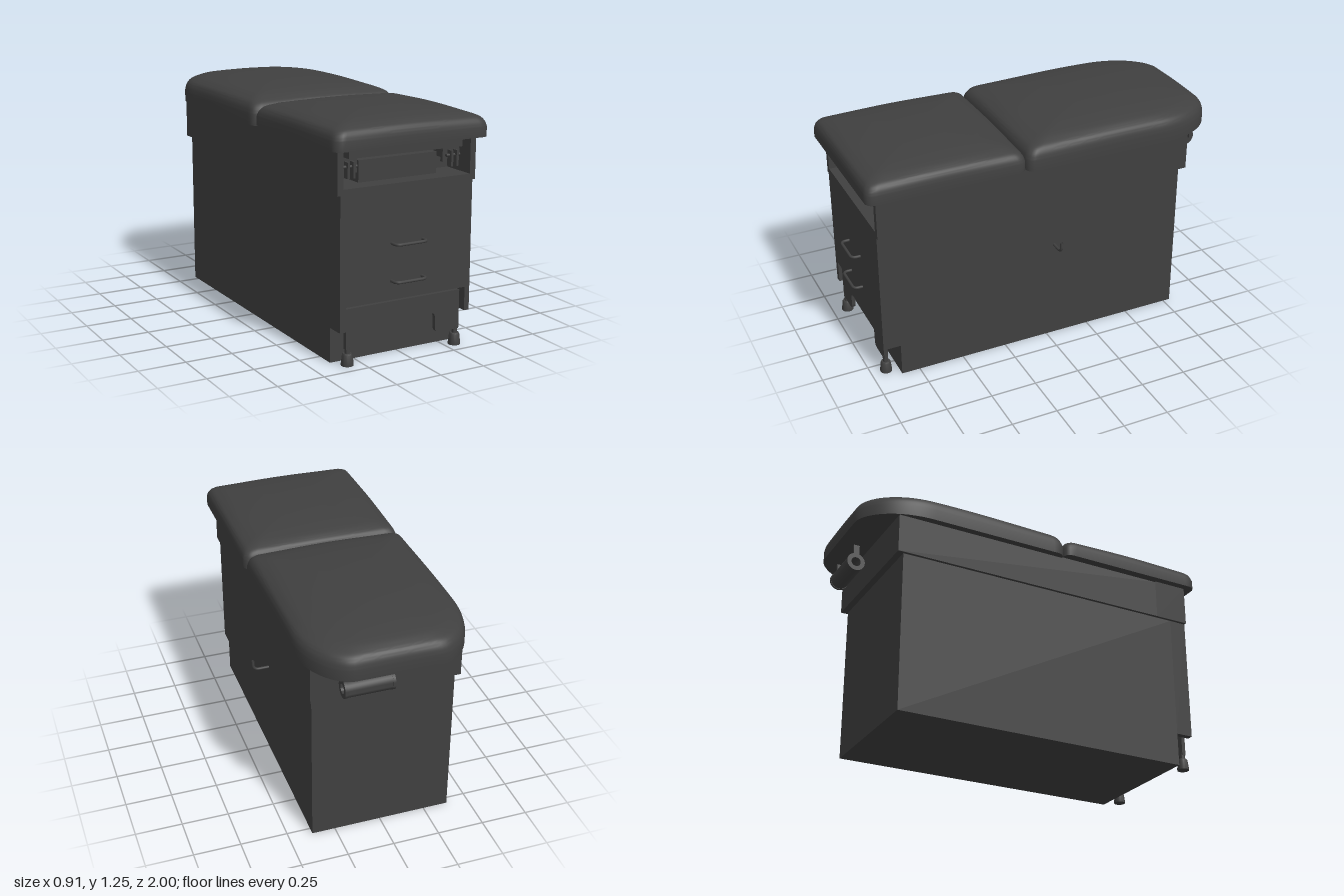
import * as THREE from 'three';
import { toCreasedNormals } from 'three/addons/utils/BufferGeometryUtils.js';

const CX = -0.005; // centre line of the cabinet
const dark = new THREE.MeshStandardMaterial({ color: 0x404040, side: THREE.DoubleSide });

export function createModel() {
  const model = new THREE.Group();

  const add = (name, geo, x = 0, y = 0, z = 0) => {
    const mesh = new THREE.Mesh(geo, dark);
    mesh.name = name;
    mesh.position.set(x, y, z);
    model.add(mesh);
    return mesh;
  };
  // Box given by its limits on each axis
  const block = (name, x0, x1, y0, y1, z0, z1) =>
    add(name, new THREE.BoxGeometry(x1 - x0, y1 - y0, z1 - z0), (x0 + x1) / 2, (y0 + y1) / 2, (z0 + z1) / 2);
  // Front-facing plate cut from a shape
  const plate = (name, shape, z0, z1) =>
    add(name, new THREE.ExtrudeGeometry(shape, { depth: z1 - z0, bevelEnabled: false, curveSegments: 8 }), 0, 0, z0);
  const polygon = (pts) => new THREE.Shape(pts.map(([x, y]) => new THREE.Vector2(x, y)));

  // Cabinet: main body, and a front section notched for the step
  block('cabinetBody', -0.384, 0.374, 0, 0.86, -0.79, 0.85);
  plate('cabinetFront', polygon([
    [-0.384, 0.18], [-0.35, 0.18], [-0.35, 0.305], [0.345, 0.305],
    [0.345, 0.18], [0.374, 0.18], [0.374, 0.86], [-0.384, 0.86],
  ]), 0.85, 0.945);

  // Upper box with an open bay at the front for the stirrups
  block('upperBox', -0.4, 0.39, 0.86, 1.075, -0.825, 0.75);
  plate('upperBoxFront', polygon([
    [-0.4, 0.86], [0.39, 0.86], [0.39, 1.08], [0.358, 1.08],
    [0.358, 0.89], [-0.368, 0.89], [-0.368, 1.08], [-0.4, 1.08],
  ]), 0.75, 0.945);
  block('cushionBoard', -0.33, 0.32, 1.03, 1.08, 0.14, 0.93);
  block('bayPanel', -0.23, 0.22, 0.89, 1.0, 0.75, 0.85);

  // Cushions: loops from the rounded outline inward, becoming oval at the crown
  const profile = new THREE.CatmullRomCurve3([
    [1, 0.33], [0.985, 0.52], [0.955, 0.66], [0.91, 0.74], [0.84, 0.82],
    [0.62, 0.925], [0.3, 0.985], [0.001, 1],
  ].map(([s, h]) => new THREE.Vector3(s, h, 0)));

  function cushion(name, z0, z1, base, top, rx, rz) {
    const w = 0.4365, d = (z1 - z0) / 2, r = 0.04;
    const outline = new THREE.Shape();
    outline.moveTo(w, 0);
    outline.lineTo(w, d - r);
    outline.bezierCurveTo(w, d - r / 2, w - r / 2, d, w - r, d);
    outline.lineTo(r - w, d);
    outline.bezierCurveTo(r / 2 - w, d, -w, d - r / 2, -w, d - r);
    outline.lineTo(-w, rz - d);
    outline.bezierCurveTo(-w, rz * 0.35 - d, rx * 0.6 - w, -d, rx - w, -d);
    outline.lineTo(w - rx, -d);
    outline.bezierCurveTo(w - rx * 0.6, -d, w, rz * 0.35 - d, w, rz - d);
    outline.lineTo(w, 0);
    const N = 160;
    const pts = outline.getSpacedPoints(N).slice(0, N);
    const rings = [[0.001, 0], [1, 0], ...profile.getPoints(28).map((p) => [p.x, p.y])];
    const pos = [], idx = [];
    rings.forEach(([s, h], j) => {
      const k = j < 2 ? 1 : s * s;
      pts.forEach((p, i) => {
        const f = s * (k + (1 - k) / Math.hypot(p.x / w, p.y / d));
        pos.push(p.x * f, base + (top - base) * h, p.y * f);
        if (j === rings.length - 1) return;
        const a = j * N + i, b = j * N + (i + 1) % N;
        idx.push(a, a + N, b, b, a + N, b + N);
      });
    });
    const geo = new THREE.BufferGeometry();
    geo.setAttribute('position', new THREE.Float32BufferAttribute(pos, 3));
    geo.setIndex(idx);
    add(name, toCreasedNormals(geo, 0.8), -0.002, 0, (z0 + z1) / 2);
  }
  cushion('seatCushion', 0.146, 1.0, 1.08, 1.23, 0.04, 0.04);
  cushion('backCushion', -1.0, 0.14, 1.07, 1.25, 0.22, 0.36);

  // Bent bar handles: path runs out, along and back
  function handle(name, halfLength, reach, thick) {
    const path = new THREE.CurvePath();
    const v = (a, b) => new THREE.Vector3(a, 0, b);
    const L = halfLength, q = Math.min(reach * 0.6, 0.035);
    path.add(new THREE.LineCurve3(v(-L, 0), v(-L, reach - q)));
    path.add(new THREE.QuadraticBezierCurve3(v(-L, reach - q), v(-L, reach), v(q - L, reach)));
    path.add(new THREE.LineCurve3(v(q - L, reach), v(L - q, reach)));
    path.add(new THREE.QuadraticBezierCurve3(v(L - q, reach), v(L, reach), v(L, reach - q)));
    path.add(new THREE.LineCurve3(v(L, reach - q), v(L, 0)));
    return add(name, new THREE.TubeGeometry(path, 60, thick, 10));
  }
  for (const y of [0.593, 0.403]) handle('drawerHandle', 0.089, 0.047, 0.008).position.set(CX, y, 0.945);
  const side = handle('sideHandle', 0.087, 0.058, 0.008);
  side.rotation.set(Math.PI / 2, Math.PI / 2, 0, 'YXZ');
  side.rotation.z = Math.PI / 2;
  side.position.set(0.374, 0.625, -0.04);

  // Pull-out step: front panel with a toe cut-out, tread and feet
  const panel = polygon([[-0.34, 0.29], [-0.34, 0.083], [-0.225, 0.083]]);
  panel.quadraticCurveTo(-0.195, 0.083, -0.195, 0.115);
  panel.lineTo(-0.195, 0.16);
  panel.quadraticCurveTo(-0.195, 0.19, -0.165, 0.19);
  panel.lineTo(0.15, 0.19);
  panel.quadraticCurveTo(0.18, 0.19, 0.18, 0.16);
  panel.lineTo(0.18, 0.115);
  panel.quadraticCurveTo(0.18, 0.083, 0.21, 0.083);
  panel.lineTo(0.325, 0.083);
  panel.lineTo(0.325, 0.29);
  plate('stepPanel', panel, 0.907, 0.928);
  block('stepTread', -0.34, 0.325, 0.265, 0.29, 0.85, 0.907);
  const footProfile = [[0, 0], [0.032, 0], [0.032, 0.008], [0.026, 0.055], [0.022, 0.062], [0.014, 0.062], [0.014, 0.1], [0, 0.1]]
    .map(([x, y]) => new THREE.Vector2(x, y));
  for (const x of [-0.325, 0.308]) {
    add('stepFoot', toCreasedNormals(new THREE.LatheGeometry(footProfile, 24), 0.6), x, 0, 0.917);
  }

  // Folded stirrups hanging in the bay
  for (const x of [-0.305, 0.287]) {
    const cap = polygon([[x - 0.05, 0.95], [x + 0.05, 0.95], [x + 0.05, 1.005]]);
    cap.quadraticCurveTo(x + 0.05, 1.03, x + 0.025, 1.03);
    cap.lineTo(x - 0.025, 1.03);
    cap.quadraticCurveTo(x - 0.05, 1.03, x - 0.05, 1.005);
    plate('stirrupRest', cap, 0.86, 0.88);
    block('stirrupArm', x - 0.016, x + 0.016, 0.96, 1.0, 0.75, 0.86);
    for (const s of [-1, 1]) block('stirrupProng', x + s * 0.016 - 0.006, x + s * 0.016 + 0.006, 0.93, 1.01, 0.88, 0.915);
    const pin = add('stirrupPin', new THREE.CylinderGeometry(0.008, 0.008, 0.08, 12), x, 0.985, 0.895);
    pin.rotation.z = Math.PI / 2;
  }

  // Paper roll and its two hanging brackets behind the headrest
  const ring = (inner, outer, half) => toCreasedNormals(new THREE.LatheGeometry(
    [[inner, -half], [outer, -half], [outer, half], [inner, half], [inner, -half]]
      .map(([x, y]) => new THREE.Vector2(x, y)), 32), 0.6);
  add('paperRoll', ring(0.028, 0.048, 0.115), 0.125, 0.97, -0.9).rotation.z = Math.PI / 2;
  for (const x of [0.003, 0.247]) {
    add('rollBracketRing', ring(0.026, 0.05, 0.007), x, 0.97, -0.9).rotation.z = Math.PI / 2;
    block('rollBracketStrap', x - 0.007, x + 0.007, 1.01, 1.075, -0.916, -0.884);
  }

  return model;
}
